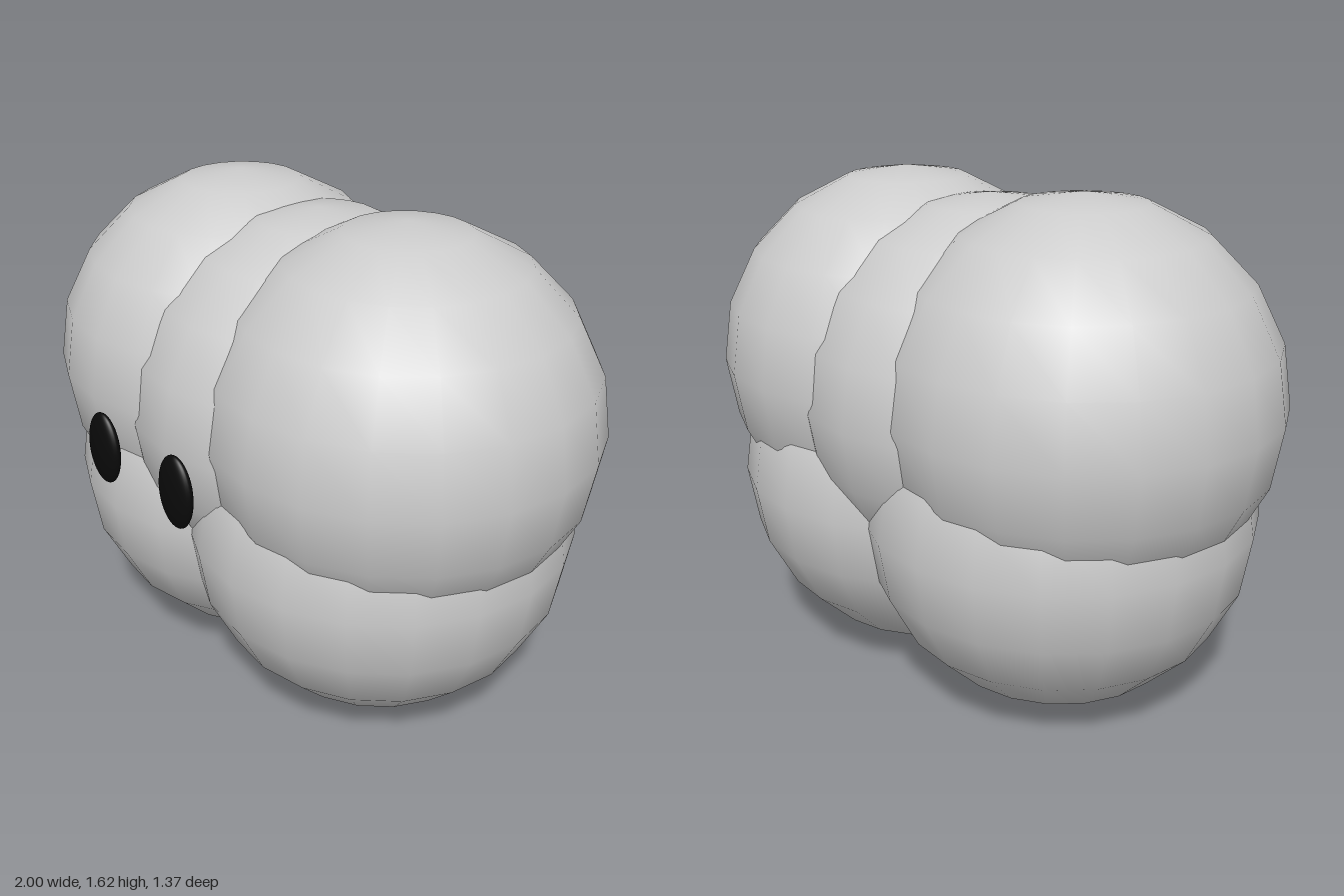
import * as THREE from 'three';

export function createModel() {
  const model = new THREE.Group();
  const paleGrey = new THREE.MeshStandardMaterial({ color: 0xcccccc });
  paleGrey.name = 'paleGrey';
  const black = new THREE.MeshStandardMaterial({ color: 0x0a0a0a });
  black.name = 'black';

  const puff = new THREE.SphereGeometry(0.625, 20, 10);
  const eyeBall = new THREE.SphereGeometry(1, 32, 24);

  function add(name, geometry, material, x, y, z) {
    const mesh = new THREE.Mesh(geometry, material);
    mesh.name = name;
    mesh.position.set(x, y, z);
    model.add(mesh);
    return mesh;
  }

  // Overlapping round puffs form the body
  const bodyZ = -0.06;
  add('centrePuff', puff, paleGrey, 0, 0.955, bodyZ);

  for (const [side, s] of [['left', 1], ['right', -1]]) {
    add(side + 'UpperPuff', puff, paleGrey, s * 0.375, 1.0, bodyZ);
    add(side + 'LowerPuff', puff, paleGrey, s * 0.3, 0.625, bodyZ);
    // Flattened oval eyes float just ahead of the body
    add(side + 'Eye', eyeBall, black, s * 0.18, 0.93, 0.657).scale.set(0.073, 0.118, 0.029);
  }

  return model;
}
